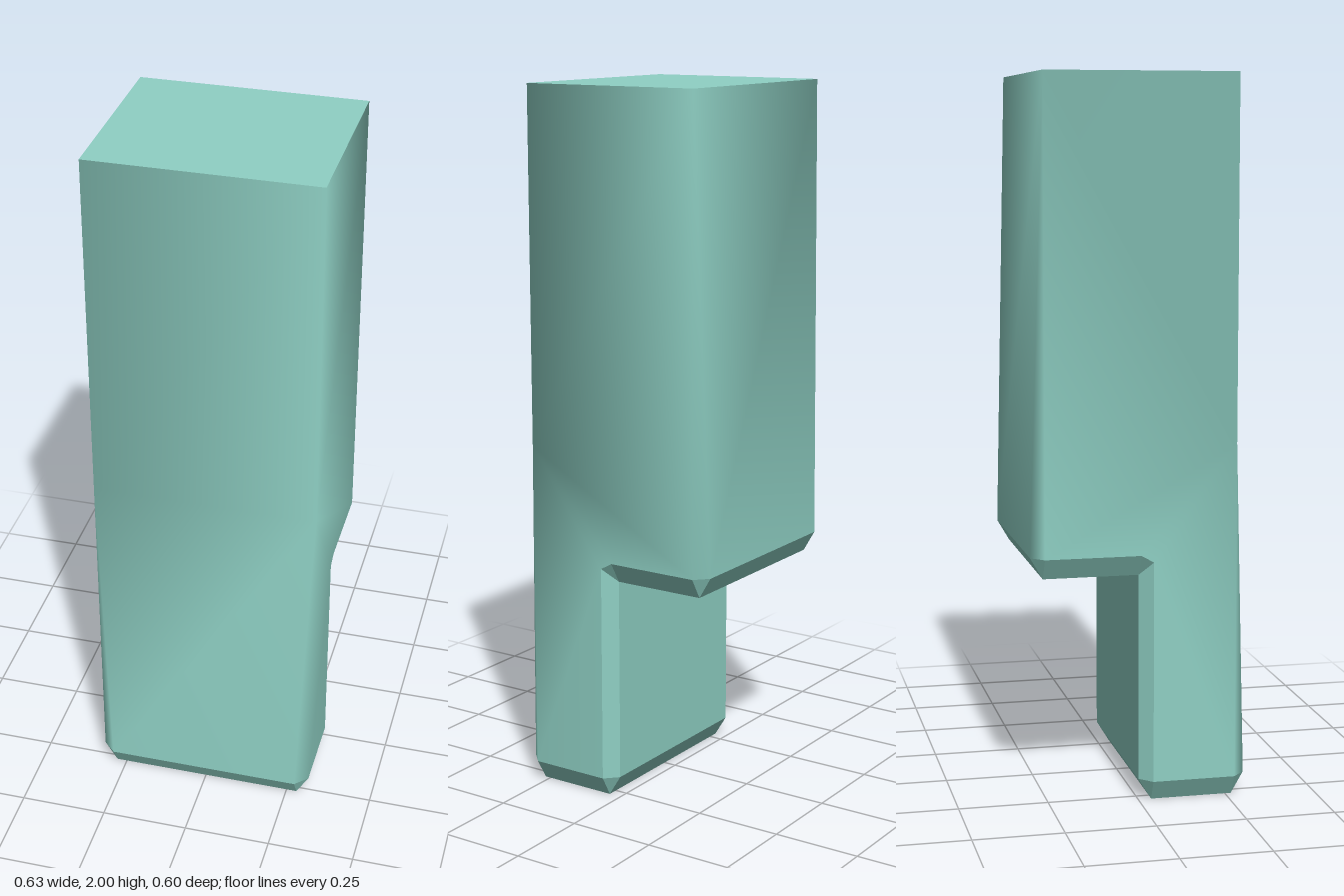
import * as THREE from 'three';
import { mergeVertices } from 'three/addons/utils/BufferGeometryUtils.js';

const HALF = 0.316; // half width at the side faces
const CUT = 0.28;   // half width where the chamfers begin

// Side profile, running down the front, under the step and up the back.
// Each row: side face [z, y], then chamfered rim [x, z, y].
const PROFILE = [
  [[0.267, 2], [HALF, 0.267, 2]],
  [[0.267, 1], [HALF, 0.267, 1]],
  [[0.267, 0.06], [CUT, 0.302, 0.06]],
  [[0.267, 0.06], [CUT, 0.267, 0]],
  [[0.035, 0.06], [CUT, 0.037, 0]],
  [[0.035, 0.06], [CUT, 0, 0.06]],
  [[0.035, 0.68], [CUT, 0, 0.64]],
  [[0, 0.7], [CUT, 0, 0.64]],
  [[-0.267, 0.7], [CUT, -0.267, 0.64]],
  [[-0.267, 0.7], [CUT, -0.302, 0.7]],
  [[-0.267, 2], [HALF, -0.267, 2]],
];
// Strips whose shading flows round the column; all others are flat
const SMOOTH = [0, 1, 9];
// Triangles of the stepped side face, as profile rows
const SIDE = [[0, 1, 10], [1, 8, 10], [1, 7, 8], [1, 6, 7], [1, 2, 6], [2, 4, 6]];

const face = (i, s) => new THREE.Vector3(s * HALF, PROFILE[i][0][1], PROFILE[i][0][0]);
const rim = (i, s) => {
  const [x, z, y] = PROFILE[i][1];
  return new THREE.Vector3(s * x, y, z);
};

// Adds a triangle, leaving out those that collapse to a line
function addTriangle(list, a, b, c) {
  if (new THREE.Triangle(a, b, c).getArea() > 1e-7) list.push(a, b, c);
}

function toMesh(points, name, smooth, material) {
  let geometry = new THREE.BufferGeometry().setFromPoints(points);
  if (smooth) geometry = mergeVertices(geometry);
  geometry.computeVertexNormals();
  const mesh = new THREE.Mesh(geometry, material);
  mesh.name = name;
  return mesh;
}

export function createModel() {
  const shell = [];
  const flats = [];

  PROFILE.forEach((_, i) => {
    const j = (i + 1) % PROFILE.length;
    const list = SMOOTH.includes(i) ? shell : flats;
    // Strip across the full width
    addTriangle(list, rim(i, -1), rim(j, -1), rim(i, 1));
    addTriangle(list, rim(j, -1), rim(j, 1), rim(i, 1));
    // Chamfers towards both sides, mirrored
    addTriangle(list, rim(i, 1), rim(j, 1), face(j, 1));
    addTriangle(list, rim(i, 1), face(j, 1), face(i, 1));
    addTriangle(list, rim(j, -1), rim(i, -1), face(j, -1));
    addTriangle(list, face(j, -1), rim(i, -1), face(i, -1));
  });

  // Side faces
  for (const [a, b, c] of SIDE) {
    addTriangle(shell, face(a, 1), face(b, 1), face(c, 1));
    addTriangle(shell, face(c, -1), face(b, -1), face(a, -1));
  }

  const material = new THREE.MeshStandardMaterial({ color: 0x8fd0c4 });
  const group = new THREE.Group();
  group.name = 'steppedPost';
  group.add(toMesh(shell, 'postWalls', true, material));
  group.add(toMesh(flats, 'endsAndStep', false, material));
  return group;
}
